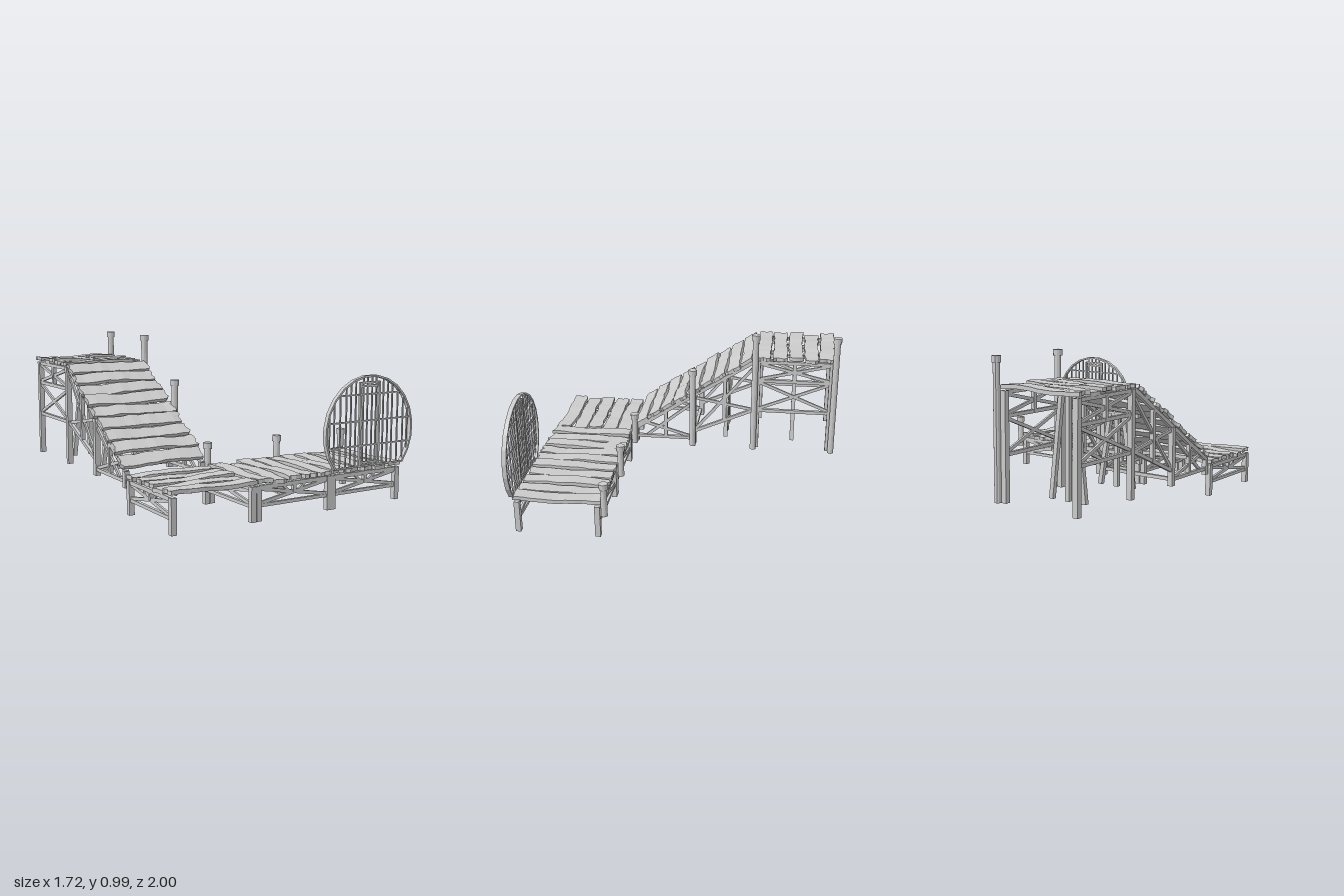
import * as THREE from 'three';

const mat = new THREE.MeshStandardMaterial({ color: 0xcccccc, flatShading: true });
const V = (x, y, z) => new THREE.Vector3(x, y, z);

function mesh(geo, name, parent) {
  const m = new THREE.Mesh(geo, mat);
  m.name = name;
  parent.add(m);
  return m;
}

// square timber between two points
function beam(parent, name, a, b, w = 0.022, h = w) {
  const m = new THREE.Mesh(new THREE.BoxGeometry(w, h, a.distanceTo(b)), mat);
  m.name = name;
  m.position.copy(a).lerp(b, 0.5);
  m.lookAt(b);
  parent.add(m);
}

const hash = (a, b, s) => {
  const v = Math.sin(a * 127.1 + b * 311.7 + s * 74.7) * 43758.5453;
  return (v - Math.floor(v)) * 2 - 1;
};

// weathered board along x: wavy edges, ragged ends, slight bow
let seed = 1;
function plank(parent, length, width, thick = 0.024) {
  const s = seed++;
  const g = new THREE.BoxGeometry(length, thick, width, 10, 1, 4);
  const p = g.attributes.position;
  for (let i = 0; i < p.count; i++) {
    const u = p.getX(i) / length, v = p.getZ(i) / width;
    const iu = Math.round(u * 10), iv = Math.round(v * 4);
    const end = Math.abs(iu) === 5 ? 0.012 * hash(iu, iv, s) : 0;
    const edge = v * 0.012 * hash(iu, Math.sign(iv), s + 9);
    p.setX(i, p.getX(i) + end);
    p.setZ(i, p.getZ(i) + edge + 0.003 * Math.sin(u * 5 + s));
    p.setY(i, p.getY(i) + 0.005 * Math.sin(u * 6 + s * 2) + 0.003 * hash(iu, 0, s));
  }
  g.computeVertexNormals();
  return mesh(g, 'plank', parent);
}

// five boards on a square deck
function boards(parent, cx, cz, y, alongZ) {
  for (let i = 0; i < 5; i++) {
    const o = (i - 2) * 0.108;
    const m = plank(parent, 0.55, 0.093);
    m.position.set(cx + (alongZ ? o : 0), y + (i % 2 ? -0.003 : 0.004), cz + (alongZ ? 0 : o));
    m.rotation.y = (alongZ ? Math.PI / 2 : 0) + 0.015 * hash(i, 3, seed);
  }
}

// crossed braces in a bay; at(t, y) maps to space
function cross(parent, at, t0, t1, lowA, topA, lowB, topB) {
  beam(parent, 'brace', at(t0, lowA), at(t1, topB), 0.014, 0.02);
  beam(parent, 'brace', at(t0, topA), at(t1, lowB), 0.014, 0.02);
}

// three-legged central trestle, spread along x
function trestle(parent, cx, z, bottom, top) {
  for (const k of [-1, 0, 1])
    beam(parent, 'trestleLeg', V(cx + k * 0.12, bottom, z), V(cx + k * 0.05, top, z), 0.028);
  beam(parent, 'trestleCap', V(cx - 0.16, top, z), V(cx + 0.16, top, z), 0.024);
}

// low square deck with braced frames on two opposite sides
function lowDeck(root, name, cx, cz, alongZ) {
  const g = new THREE.Group();
  g.name = name;
  root.add(g);
  boards(g, cx, cz, 0.224, alongZ);
  for (const s of [-1, 1]) {
    const at = (t, y) => alongZ ? V(cx + t, y, cz + s * 0.252) : V(cx + s * 0.257, y, cz + t);
    for (const t of [-0.252, 0.252]) beam(g, 'leg', at(t, 0), at(t, 0.205), 0.034);
    beam(g, 'topRail', at(-0.27, 0.195), at(0.27, 0.195), 0.024);
    beam(g, 'lowRail', at(-0.25, 0.09), at(0.25, 0.09), 0.02);
    cross(g, at, -0.245, 0.245, 0.1, 0.185, 0.1, 0.185);
    beam(g, 'kingStrut', at(0, 0.14), at(0, 0.195), 0.022);
    for (const k of [-1, 1])
      beam(g, 'strut', at(k * 0.03, 0.145), at(k * 0.08, 0.19), 0.014);
  }
  // small splayed bracket under the middle
  for (const k of [-1, 0, 1])
    beam(g, 'bracketStrut', V(cx + k * 0.11, 0.15, cz), V(cx + k * 0.08, 0.21, cz), 0.026);
  beam(g, 'bracketBar', V(cx - 0.16, 0.195, cz), V(cx + 0.16, 0.195, cz), 0.02);
}

function upperDeck(root, cx, cz) {
  const g = new THREE.Group();
  g.name = 'upperDeck';
  root.add(g);
  boards(g, cx, cz, 0.812, false);
  for (const s of [-1, 1]) {
    const at = (t, y) => V(cx + s * 0.257, y, cz + t);
    for (const t of [-0.25, 0.25]) beam(g, 'leg', at(t, 0.15), at(t, 0.795), 0.034);
    for (const y of [0.785, 0.65, 0.43]) beam(g, 'rail', at(-0.26, y), at(0.26, y), 0.022);
    cross(g, at, -0.245, 0.245, 0.66, 0.775, 0.66, 0.775);
    cross(g, at, -0.245, 0.245, 0.44, 0.64, 0.44, 0.64);
    beam(g, 'kingStrut', at(0, 0.65), at(0, 0.785), 0.026);
  }
  trestle(g, cx, cz, 0.15, 0.77);
}

function ramp(root, cx) {
  const g = new THREE.Group();
  g.name = 'ramp';
  root.add(g);
  const z0 = 0.41, y0 = 0.245, z1 = -0.43, y1 = 0.79;
  const line = z => y0 + (y1 - y0) * (z0 - z) / (z0 - z1);
  const tilt = Math.atan2(y1 - y0, z0 - z1);
  for (let i = 0; i < 9; i++) {
    const z = 0.365 - i * 0.0925;
    const m = plank(g, 0.56, 0.092);
    m.position.set(cx, line(z) + 0.028 + (i % 2) * 0.004, z);
    m.rotation.x = tilt + 0.04 * hash(i, 1, 5);
  }
  for (const s of [-1, 1]) {
    const at = (z, y) => V(cx + s * 0.257, y, z);
    beam(g, 'stringer', at(z0, y0), at(z1, y1), 0.024);
    beam(g, 'lowRail', at(0.42, 0.19), at(0, 0.19), 0.022);
    beam(g, 'slopedRail', at(-0.01, 0.245), at(z1, 0.43), 0.022);
    beam(g, 'leg', at(0.4, 0.15), at(0.4, 0.25), 0.03);
    beam(g, 'leg', at(-0.01, 0.15), at(-0.01, line(-0.01)), 0.034);
    beam(g, 'strut', at(0.19, 0.19), at(0.19, line(0.19)), 0.024);
    beam(g, 'strut', at(-0.225, 0.34), at(-0.225, line(-0.225)), 0.026);
    cross(g, at, 0.32, 0.01, 0.2, 0.29, 0.2, 0.45);
    cross(g, at, -0.02, -0.42, 0.26, 0.5, 0.43, 0.74);
  }
  trestle(g, cx, -0.225, 0.15, 0.6);
  beam(g, 'crossBeam', V(cx - 0.257, 0.19, 0), V(cx + 0.257, 0.19, 0), 0.022);
}

// round mooring post with a wider cap
function post(root, x, z, top) {
  const g = new THREE.Group();
  g.name = 'post';
  g.position.set(x, 0, z);
  root.add(g);
  const h = top - 0.17;
  mesh(new THREE.CylinderGeometry(0.021, 0.021, h, 12), 'postShaft', g).position.y = 0.15 + h / 2;
  mesh(new THREE.CylinderGeometry(0.028, 0.028, 0.038, 12), 'postCap', g).position.y = top - 0.019;
}

// round barred gate with a flat bottom on the deck
function gate(root) {
  const g = new THREE.Group();
  g.name = 'roundGate';
  g.position.set(0.52, 0.455, 0.985);
  root.add(g);
  const R = 0.342, r = 0.33, floor = -0.215;
  const a0 = Math.asin(floor / R), a1 = Math.PI - a0, n = 17;
  const arc = rad => Array.from({ length: n + 1 }, (_, i) => {
    const a = a0 + (a1 - a0) * i / n;
    return new THREE.Vector2(Math.cos(a) * rad, Math.sin(a) * rad);
  });
  const shape = new THREE.Shape([...arc(R), ...arc(r).reverse()]);
  const ring = new THREE.ExtrudeGeometry(shape, { depth: 0.028, bevelEnabled: false });
  mesh(ring.translate(0, 0, -0.014), 'gateRim', g);

  const bar = (name, x0, y0, x1, y1, w) => beam(g, name, V(x0, y0, 0), V(x1, y1, 0), w);
  for (const x of [0.108, 0.145, 0.18, 0.225, 0.27, 0.305]) for (const s of [-1, 1]) {
    const h = Math.sqrt(0.335 ** 2 - x * x);
    bar('gateBar', s * x, Math.max(floor, -h), s * x, h, 0.008);
  }
  for (const y of [-0.085, 0.065, 0.225]) {
    const w = Math.sqrt(0.335 ** 2 - y * y);
    bar('gateCrossBar', -w, y, w, y, 0.009);
  }
  bar('gateSill', -0.26, floor + 0.004, 0.26, floor + 0.004, 0.01);
  // door in the middle
  for (const s of [-1, 1]) {
    bar('doorFrame', s * 0.074, floor, s * 0.074, 0.3, 0.014);
    bar('doorBar', s * 0.05, floor, s * 0.05, 0.325, 0.008);
    bar('doorBar', s * 0.018, floor, s * 0.018, 0.33, 0.008);
  }
  for (const y of [-0.19, 0.275, 0.295]) bar('doorRail', -0.074, y, 0.074, y, 0.012);
}

export function createModel() {
  const root = new THREE.Group();
  root.name = 'dock';
  lowDeck(root, 'cornerDeck', -0.567, 0.71, false);
  lowDeck(root, 'middleDeck', -0.018, 0.705, true);
  lowDeck(root, 'gateDeck', 0.516, 0.705, true);
  ramp(root, -0.567);
  upperDeck(root, -0.567, -0.7);
  for (const [x, z, top] of [
    [-0.27, -0.972, 0.99], [-0.27, -0.432, 0.99], [-0.27, -0.005, 0.72],
    [-0.27, 0.408, 0.37], [0.25, 0.408, 0.37], [0.78, 0.408, 0.37],
  ]) post(root, x, z, top);
  gate(root);
  return root;
}
